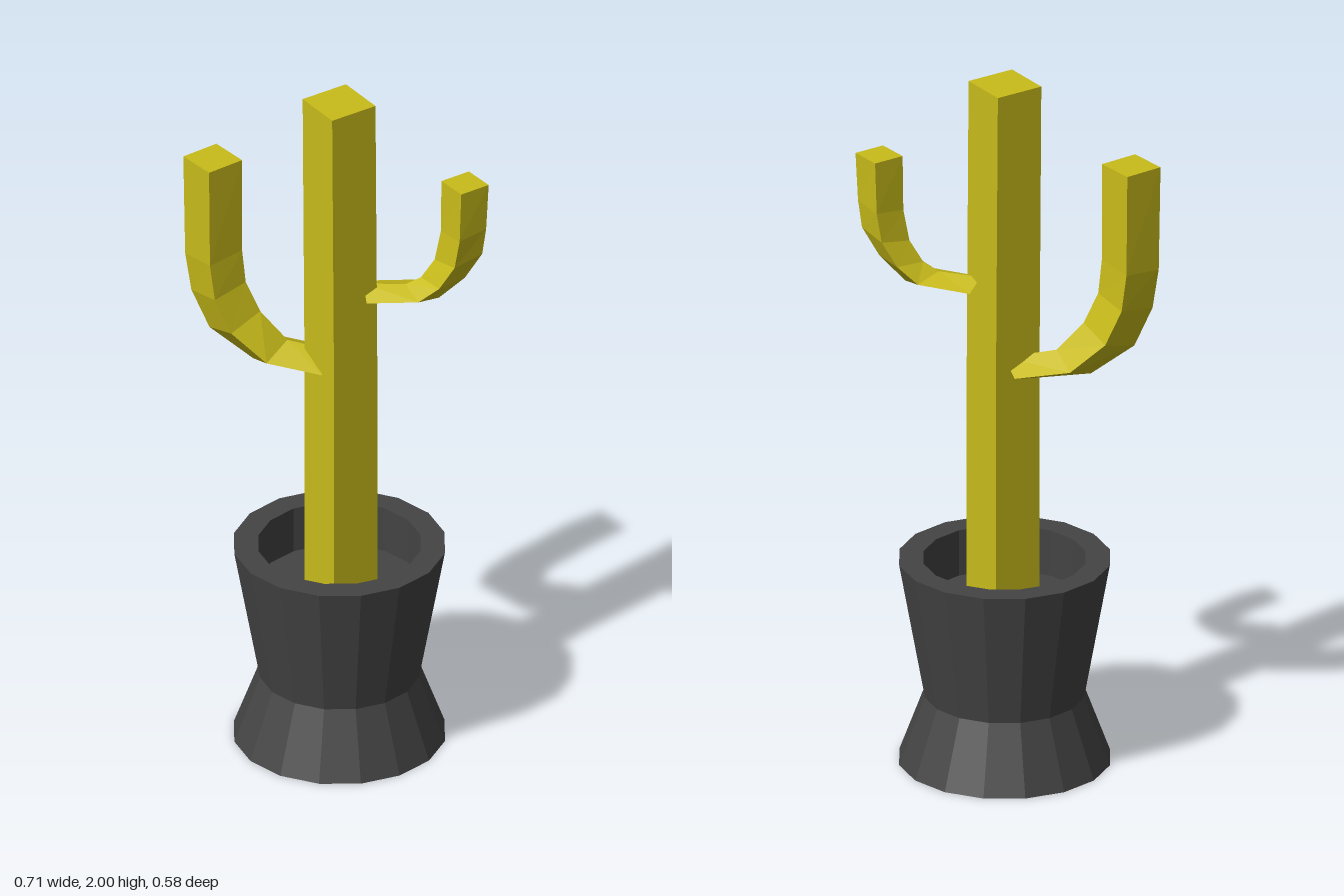
import * as THREE from 'three';

const green = new THREE.MeshStandardMaterial({ color: 0xc8bb1a, flatShading: true });
const dark = new THREE.MeshStandardMaterial({ color: 0x444444, flatShading: true });

// Skin a row of four-cornered rings (counter-clockwise from above, base to tip) and cap both ends
function loft(name, rings) {
  const pos = [];
  const tri = (...pts) => pts.forEach(p => pos.push(...p));
  for (let i = 0; i < rings.length - 1; i++) {
    for (let j = 0; j < 4; j++) {
      const k = (j + 1) % 4;
      const a = rings[i][j], b = rings[i][k], c = rings[i + 1][k], d = rings[i + 1][j];
      tri(a, b, c);
      tri(a, c, d);
    }
  }
  const base = rings[0], tip = rings[rings.length - 1];
  tri(base[0], base[2], base[1]);
  tri(base[0], base[3], base[2]);
  tri(tip[0], tip[1], tip[2]);
  tri(tip[0], tip[2], tip[3]);
  const geo = new THREE.BufferGeometry();
  geo.setAttribute('position', new THREE.Float32BufferAttribute(pos, 3));
  geo.computeVertexNormals();
  const mesh = new THREE.Mesh(geo, green);
  mesh.name = name;
  return mesh;
}

// Square arm that bends along its diagonal; profiles are [distance outward, height]
function arm(name, root, dir, halfWidth, outer, inner) {
  const rings = outer.map(([ro, yo], i) => {
    const [ri, yi] = inner[i];
    const at = (r, y, side) => [
      root[0] + dir[0] * r + dir[1] * side,
      y,
      root[1] + dir[1] * r - dir[0] * side,
    ];
    const rm = (ro + ri) / 2, ym = (yo + yi) / 2;
    return [at(ro, yo, 0), at(rm, ym, halfWidth), at(ri, yi, 0), at(rm, ym, -halfWidth)];
  });
  return loft(name, rings);
}

export function createModel() {
  const model = new THREE.Group();

  // Pot: waisted outside, straight inner wall, soil floor
  const profile = [[0, 0], [0.294, 0], [0.222, 0.195], [0.294, 0.595], [0.226, 0.595], [0.226, 0.46], [0, 0.46]];
  const pot = new THREE.Mesh(
    new THREE.LatheGeometry(profile.map(p => new THREE.Vector2(...p)), 16, THREE.MathUtils.degToRad(7.7)),
    dark
  );
  pot.name = 'pot';
  pot.position.set(0.003, 0, -0.001);
  model.add(pot);

  // Trunk: square column, turned a little, with a slight bend half way up
  const corners = [[0.1, -0.04], [-0.039, -0.076], [-0.075, 0.063], [0.064, 0.099]];
  const levels = [[0.45, 0.002, -0.006], [1.1, 0.002, -0.006], [2, 0, 0]];
  model.add(loft('trunk', levels.map(([y, dx, dz]) => corners.map(([x, z]) => [x + dx, y, z + dz]))));

  // Large arm on the model's right
  model.add(arm('rightArm', [-0.025, 0.01], [-0.83, 0.56], 0.08,
    [[0.05, 1.137], [0.21, 1.16], [0.33, 1.25], [0.38, 1.365], [0.397, 1.48], [0.402, 1.785]],
    [[-0.03, 1.195], [0.115, 1.225], [0.19, 1.31], [0.23, 1.4], [0.24, 1.5], [0.24, 1.785]]));

  // Small arm on the model's left
  model.add(arm('leftArm', [0.0775, -0.045], [0.85, -0.527], 0.064,
    [[0.02, 1.375], [0.19, 1.4], [0.262, 1.47], [0.31, 1.55], [0.321, 1.63], [0.328, 1.77]],
    [[-0.02, 1.425], [0.097, 1.434], [0.14, 1.46], [0.178, 1.52], [0.195, 1.61], [0.197, 1.77]]));

  return model;
}
